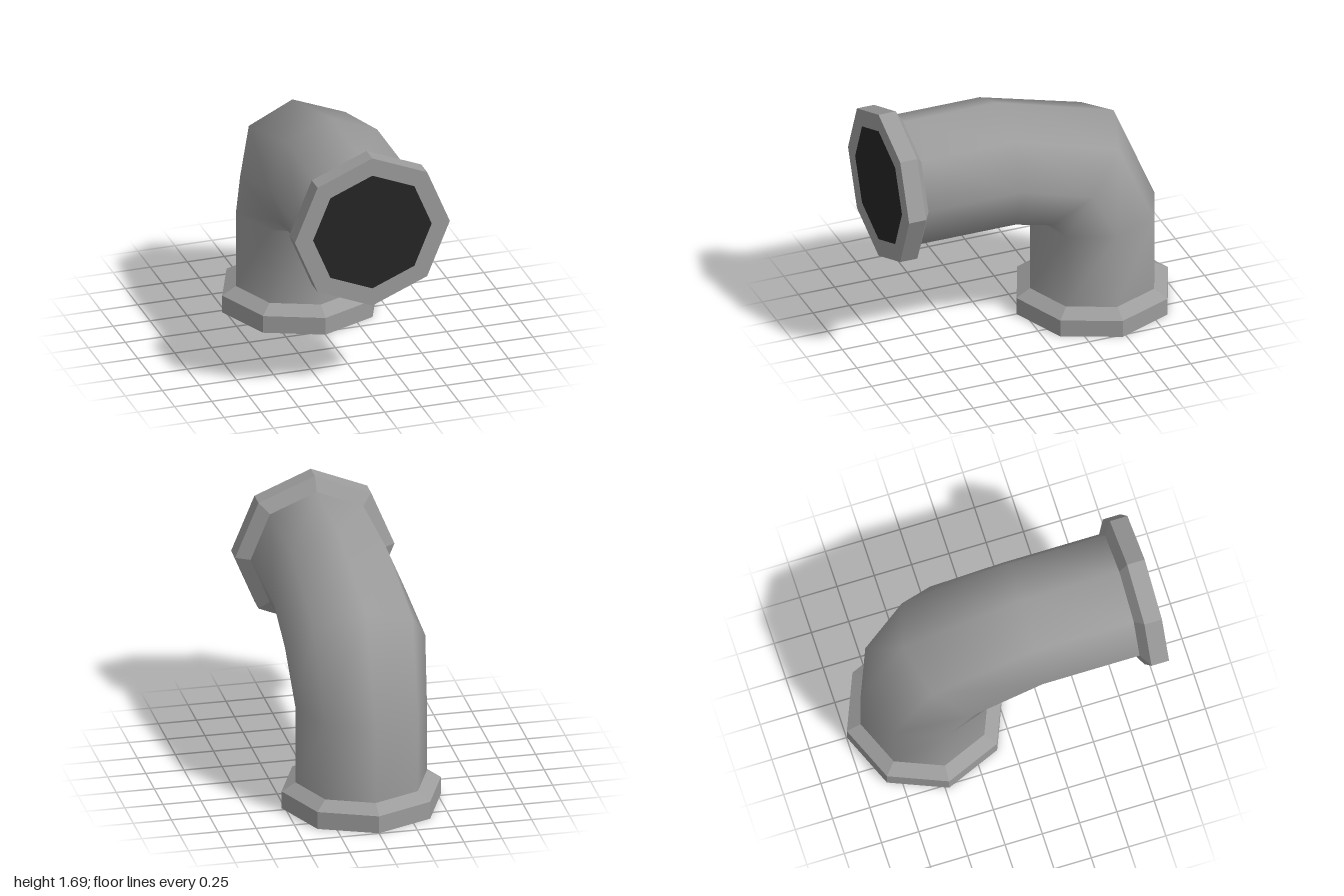
import * as THREE from 'three';

const SIDES = 8;
const PIPE_Z = -0.475; // axis of the upright leg
const PIPE_Y = 1.165;  // axis of the forward leg

// Elbow skin: shared-vertex octagonal rings along the bend, smooth shaded
function elbowGeometry() {
  // ring centre y, z, radius, bend angle
  const rings = [
    [0.172, PIPE_Z, 0.43, 0],
    [0.69, PIPE_Z, 0.43, 0],
    [1.04, -0.297, 0.46, Math.PI / 4],
    [PIPE_Y, 0.18, 0.433, Math.PI / 2],
    [PIPE_Y, 0.835, 0.433, Math.PI / 2],
  ];
  const positions = [];
  const index = [];
  rings.forEach(([y, z, r, t], i) => {
    for (let j = 0; j < SIDES; j++) {
      const a = (j / SIDES) * Math.PI * 2;
      const out = r * Math.sin(a);
      positions.push(r * Math.cos(a), y + out * Math.sin(t), z - out * Math.cos(t));
      if (i === rings.length - 1) continue;
      const k = (j + 1) % SIDES;
      const p = i * SIDES + j, q = i * SIDES + k;
      index.push(p, q, q + SIDES, p, q + SIDES, p + SIDES);
    }
  });
  const geometry = new THREE.BufferGeometry();
  geometry.setAttribute('position', new THREE.Float32BufferAttribute(positions, 3));
  geometry.setIndex(index);
  geometry.computeVertexNormals();
  return geometry;
}

// Collar with a chamfered shoulder and a dark opening; its mouth faces -y
function createCollar(name, metal, dark) {
  const collar = new THREE.Group();
  collar.name = name;
  const profile = [[0.4, 0], [0.5225, 0], [0.5225, 0.118], [0.43, 0.172]]
    .map(([r, y]) => new THREE.Vector2(r, y));
  const rimGeometry = new THREE.LatheGeometry(profile, SIDES).toNonIndexed();
  rimGeometry.computeVertexNormals(); // faceted
  const rim = new THREE.Mesh(rimGeometry, metal);
  rim.name = 'collarRim';
  const opening = new THREE.Mesh(new THREE.CircleGeometry(0.4, SIDES).rotateX(Math.PI / 2), dark);
  opening.name = 'pipeOpening';
  collar.add(rim, opening);
  return collar;
}

export function createModel() {
  const metal = new THREE.MeshStandardMaterial({ color: 0x9c9c9c });
  metal.name = 'grey metal';
  const dark = new THREE.MeshStandardMaterial({ color: 0x252525 });
  dark.name = 'dark opening';

  const model = new THREE.Group();
  model.name = 'pipeElbow';

  const elbow = new THREE.Mesh(elbowGeometry(), metal);
  elbow.name = 'elbowPipe';

  const bottomCollar = createCollar('bottomCollar', metal, dark);
  bottomCollar.position.set(0, 0, PIPE_Z);

  const frontCollar = createCollar('frontCollar', metal, dark);
  frontCollar.rotation.x = -Math.PI / 2;
  frontCollar.position.set(0, PIPE_Y, 1);

  model.add(elbow, bottomCollar, frontCollar);
  return model;
}
